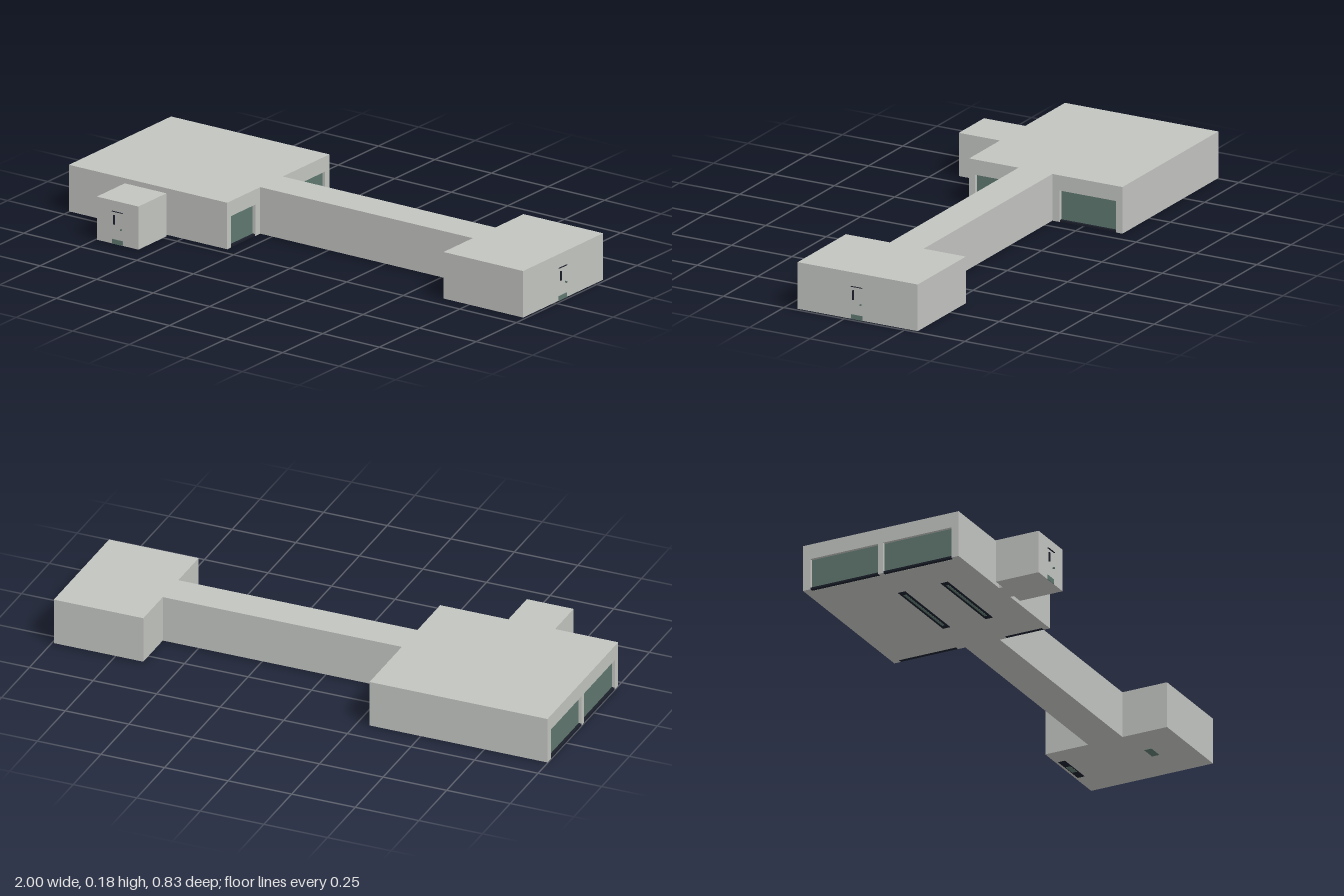
import * as THREE from 'three';

const mat = (name, color) => {
  const m = new THREE.MeshStandardMaterial({ color });
  m.name = name;
  return m;
};

export function createModel() {
  const model = new THREE.Group();
  model.name = 'stationModules';
  const wall = mat('paleGrey', 0xc2c4c0);
  const teal = mat('dullTeal', 0x5f776f);
  const dark = mat('darkNavy', 0x1b1f2b);

  // Box given by its extents along each axis
  const box = (name, material, [x0, x1], [y0, y1], [z0, z1], parent = model) => {
    const g = new THREE.BoxGeometry(x1 - x0, y1 - y0, z1 - z0);
    g.translate((x0 + x1) / 2, (y0 + y1) / 2, (z0 + z1) / 2);
    const mesh = new THREE.Mesh(g, material);
    mesh.name = name;
    parent.add(mesh);
    return mesh;
  };

  const H = 0.178, R = 0.016, WIN = 0.12, SILL = 0.007;

  // Main hall core, inset on both sides to leave room for the window walls
  box('hallCore', wall, [-1 + R, -0.3 - R], [0, H], [-0.415, 0.22]);

  // Side wall with notches down to the floor, glazed at the back of each recess
  const windowWall = (name, x0, side, openings) => {
    const s = new THREE.Shape();
    s.moveTo(-0.415, 0);
    for (const [a, b] of openings) {
      s.lineTo(a, 0);
      s.lineTo(a, WIN);
      s.lineTo(b, WIN);
      s.lineTo(b, 0);
    }
    s.lineTo(0.22, 0);
    s.lineTo(0.22, H);
    s.lineTo(-0.415, H);
    const g = new THREE.ExtrudeGeometry(s, { depth: R, bevelEnabled: false });
    g.rotateY(-Math.PI / 2);
    g.translate(x0 + R, 0, 0);
    const mesh = new THREE.Mesh(g, wall);
    mesh.name = name;
    model.add(mesh);
    const inner = side > 0 ? x0 : x0 + R;
    for (const [a, b] of openings) {
      const glassX = [inner, inner + side * 0.004].sort((p, q) => p - q);
      box('windowGlass', teal, glassX, [SILL, WIN], [a, b]);
      box('windowSill', dark, [x0 + 0.001, x0 + R - 0.001], [0, SILL], [a, b]);
    }
  };
  windowWall('hallRightWall', -0.3 - R, 1, [[-0.388, -0.155], [0.045, 0.195]]);
  windowWall('hallLeftWall', -1, -1, [[-0.385, -0.108], [-0.088, 0.19]]);

  // Corridor and end room
  box('corridor', wall, [-0.3, 0.64], [0, H], [-0.125, 0.015]);
  box('endRoom', wall, [0.64, 0.992], [0, H], [-0.3, 0.197]);

  // Entrance block and its short neck
  box('entranceNeck', wall, [-0.69, -0.604], [0, 0.137], [0.22, 0.235]);
  box('entranceBlock', wall, [-0.742, -0.558], [0, 0.165], [0.235, 0.409]);

  // Door fittings, laid out on a plane facing +z
  const doorFittings = (name) => {
    const door = new THREE.Group();
    door.name = name;
    const d = [0, 0.005];
    box('doorStep', teal, [-0.024, 0.024], [0, 0.018], [0, 0.002], door);
    box('doorSlit', dark, [-0.017, -0.011], [0.075, 0.111], d, door);
    box('doorHandle', teal, [0.016, 0.02], [0.058, 0.064], [0, 0.007], door);
    box('doorLip', dark, [-0.024, 0.024], [0.124, 0.1255], d, door);
    model.add(door);
    return door;
  };
  doorFittings('entranceDoor').position.set(-0.65, 0, 0.409);
  const endDoor = doorFittings('endRoomDoor');
  endDoor.rotation.y = Math.PI / 2;
  endDoor.position.set(0.992, 0, -0.048);

  // Floor strips and plates set into the underside
  for (const z of [-0.106, 0.068]) {
    box('floorStrip', dark, [-0.825, -0.48], [-0.001, 0.002], [z - 0.015, z + 0.015]);
    box('floorStripInlay', teal, [-0.8, -0.505], [-0.002, 0.002], [z - 0.005, z + 0.005]);
  }
  box('floorPlate', teal, [0.775, 0.835], [-0.001, 0.002], [0.032, 0.062]);
  box('floorPlateBack', dark, [0.72, 0.87], [-0.001, 0.002], [-0.29, -0.262]);
  box('floorPlateInlay', teal, [0.77, 0.82], [-0.002, 0.002], [-0.286, -0.266]);

  return model;
}
